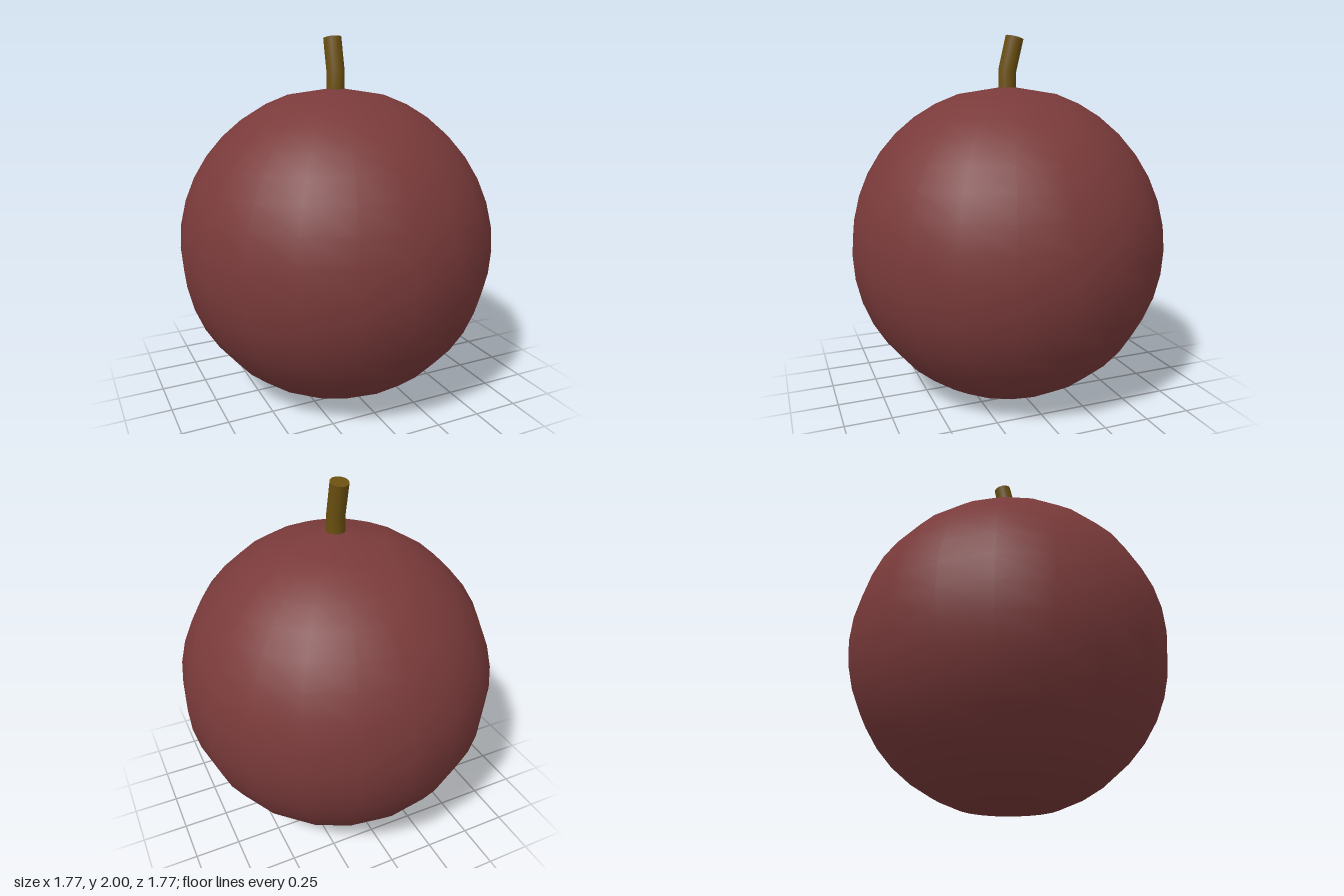
import * as THREE from 'three';

const RADIUS = 0.885, CENTER_Y = 0.842, SIDES = 20;

// Round body: 9 degree rings, a shallow cone at the top and a slight dimple below
function createBody() {
  const profile = [new THREE.Vector2(0, 0.03)];
  for (let i = 2; i <= SIDES - 2; i++) {
    const a = (i / SIDES) * Math.PI;
    profile.push(new THREE.Vector2(RADIUS * Math.sin(a), CENTER_Y - RADIUS * Math.cos(a)));
  }
  profile.push(new THREE.Vector2(0, CENTER_Y + RADIUS));
  const body = new THREE.Mesh(
    new THREE.LatheGeometry(profile, SIDES),
    new THREE.MeshStandardMaterial({ color: 0x7a3a3a })
  );
  body.name = 'fruitBody';
  return body;
}

// Stem: upright lower half, upper half leaning to the back
function createStem() {
  const rings = [
    { y: 1.68, z: 0, tilt: 0 },
    { y: 1.81, z: 0, tilt: 0.12 },
    { y: 1.99, z: -0.043, tilt: 0.24 },
  ];
  const geometry = new THREE.CylinderGeometry(0.05, 0.05, 2, 20, 2);
  const p = geometry.attributes.position;
  for (let i = 0; i < p.count; i++) {
    const ring = rings[Math.round(p.getY(i)) + 1];
    const z = p.getZ(i);
    p.setXYZ(i, p.getX(i), ring.y + z * Math.sin(ring.tilt), ring.z + z * Math.cos(ring.tilt));
  }
  geometry.computeVertexNormals();
  const stem = new THREE.Mesh(geometry, new THREE.MeshStandardMaterial({ color: 0x6b5010 }));
  stem.name = 'stem';
  return stem;
}

export function createModel() {
  const group = new THREE.Group();
  group.name = 'fruit';
  group.add(createBody(), createStem());
  return group;
}
